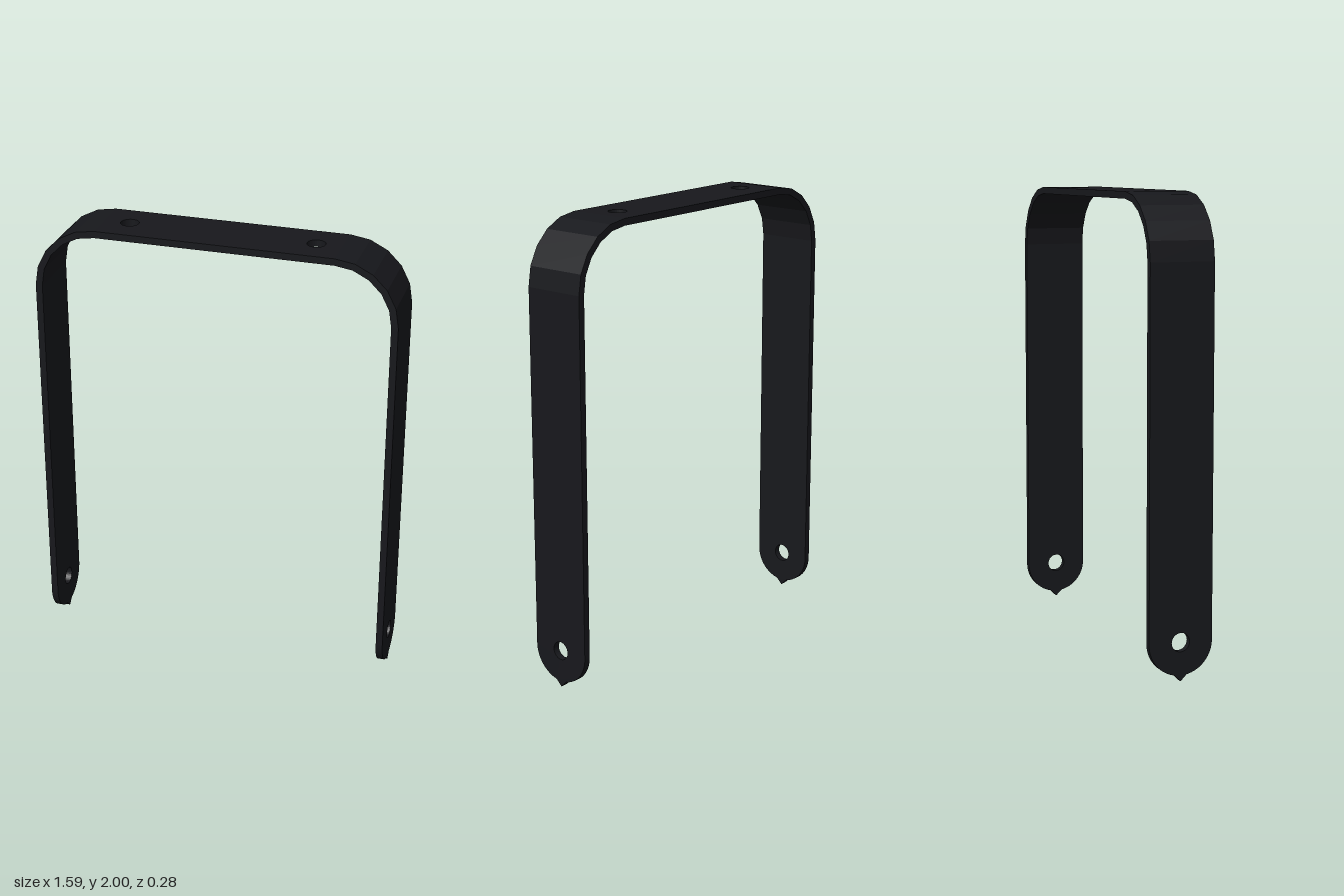
import * as THREE from 'three';

const T = 0.03, HALF_W = 0.14, OUT_X = 0.795, TOP_Y = 2, R = 0.275, HOLE_R = 0.04;
const BEND_X = OUT_X - R, BEND_Y = TOP_Y - R, END_Y = 0.165;

const material = new THREE.MeshStandardMaterial({ color: 0x17181c });

function extrude(shape, depth) {
  return new THREE.ExtrudeGeometry(shape, { depth, bevelEnabled: false, curveSegments: 16 });
}

function addHole(shape, x, y) {
  shape.holes.push(new THREE.Path().absarc(x, y, HOLE_R, 0, Math.PI * 2, true));
}

function addMesh(group, name, geometry) {
  const mesh = new THREE.Mesh(geometry, material);
  mesh.name = name;
  group.add(mesh);
  return mesh;
}

// Flat leg with a rounded end, a small pointed tip and a bolt hole
function legGeometry() {
  const a = 0.2; // half angle taken by the tip
  const s = new THREE.Shape();
  s.moveTo(HALF_W, BEND_Y);
  s.lineTo(-HALF_W, BEND_Y);
  s.lineTo(-HALF_W, END_Y);
  s.absarc(0, END_Y, HALF_W, Math.PI, Math.PI * 1.5 - a, false);
  s.lineTo(0, 0);
  s.absarc(0, END_Y, HALF_W, Math.PI * 1.5 + a, Math.PI * 2, false);
  addHole(s, 0, END_Y);
  return extrude(s, T).rotateY(Math.PI / 2).translate(OUT_X - T, 0, 0);
}

// Faceted quarter bend joining a leg to the top bar
function bendGeometry(steps = 5) {
  const points = [];
  const add = (r, i) => {
    const a = (i / steps) * Math.PI / 2;
    points.push(new THREE.Vector2(BEND_X + r * Math.cos(a), BEND_Y + r * Math.sin(a)));
  };
  for (let i = 0; i <= steps; i++) add(R, i);
  for (let i = steps; i >= 0; i--) add(R - T, i);
  return extrude(new THREE.Shape(points), HALF_W * 2).translate(0, 0, -HALF_W);
}

// Flat top bar with two mounting holes
function topGeometry() {
  const s = new THREE.Shape();
  s.moveTo(-BEND_X, -HALF_W);
  s.lineTo(BEND_X, -HALF_W);
  s.lineTo(BEND_X, HALF_W);
  s.lineTo(-BEND_X, HALF_W);
  s.closePath();
  for (const side of [-1, 1]) addHole(s, side * 0.408, 0);
  return extrude(s, T).rotateX(-Math.PI / 2).translate(0, TOP_Y - T, 0);
}

export function createModel() {
  const group = new THREE.Group();
  group.name = 'bracket';
  addMesh(group, 'topBar', topGeometry());
  const leg = legGeometry(), bend = bendGeometry();
  // Each side is the same piece turned half way round
  for (const [side, turn] of [['left', 0], ['right', Math.PI]]) {
    addMesh(group, side + 'Leg', leg).rotation.y = turn;
    addMesh(group, side + 'Bend', bend).rotation.y = turn;
  }
  return group;
}
